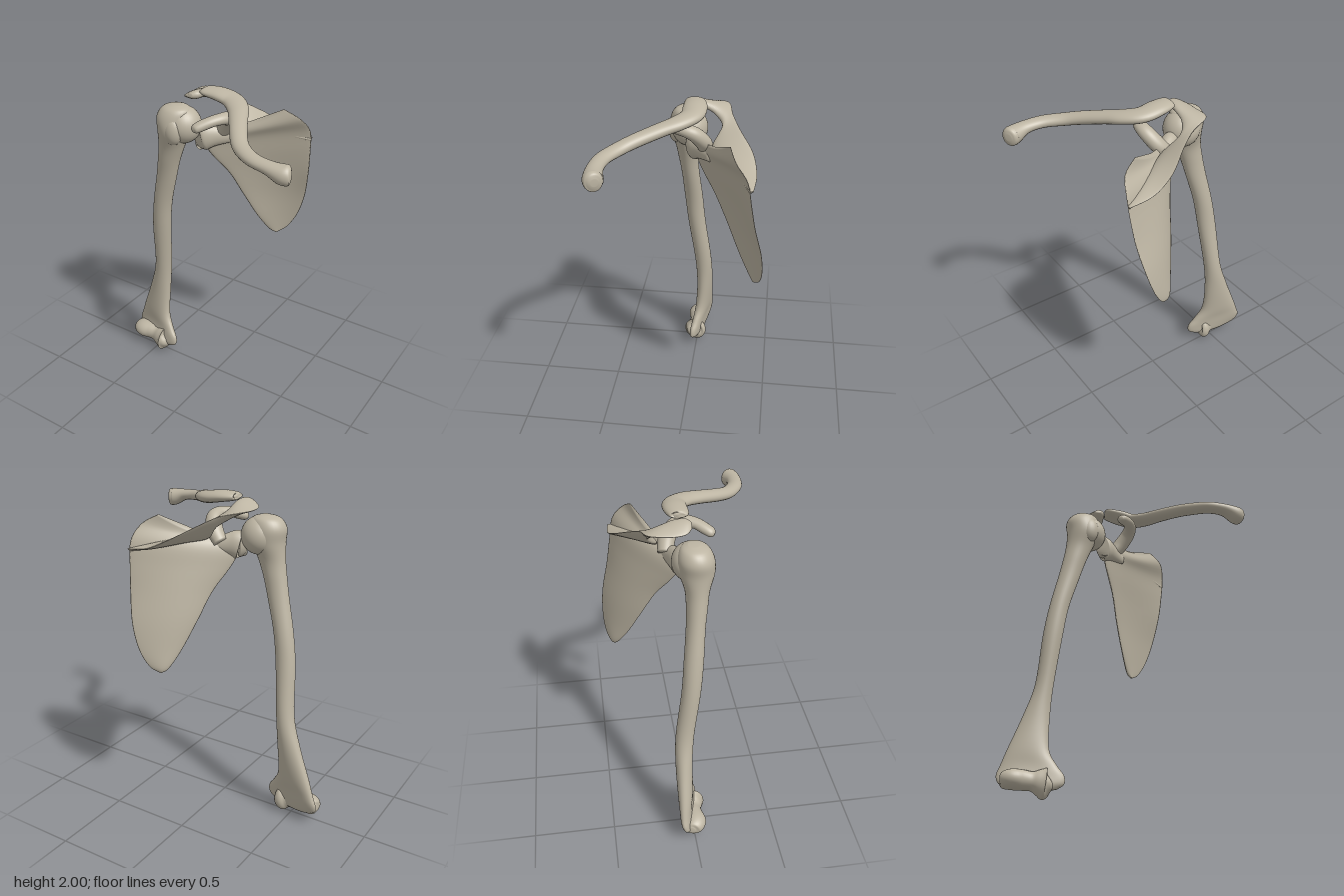
import * as THREE from 'three';

const V = (x, y, z) => new THREE.Vector3(x, y, z);
const SEG = 32;

// Smoothly subdivide rows of numbers (Catmull-Rom through every row)
function refine(rows, n) {
  const out = [], last = rows.length - 1;
  for (let i = 0; i < last; i++) {
    const a = rows[Math.max(i - 1, 0)], b = rows[i], c = rows[i + 1], d = rows[Math.min(i + 2, last)];
    for (let k = 0; k < n; k++) {
      const t = k / n;
      out.push(b.map((_, j) => b[j] + 0.5 * t * (c[j] - a[j] +
        t * (2 * a[j] - 5 * b[j] + 4 * c[j] - d[j] + t * (3 * (b[j] - c[j]) + d[j] - a[j])))));
    }
  }
  out.push(rows[last]);
  return out;
}

// Skin closed rings of points, cap both ends, and face the surface outward
function skin(rings) {
  const n = rings[0].length, pts = rings.flat(), idx = [];
  for (let i = 0; i < rings.length - 1; i++) {
    for (let j = 0; j < n; j++) {
      const a = i * n + j, b = i * n + (j + 1) % n;
      idx.push(a, b, a + n, b, b + n, a + n);
    }
  }
  [0, rings.length - 1].forEach((r) => {
    const c = pts.length;
    pts.push(rings[r].reduce((s, p) => s.add(p), V(0, 0, 0)).divideScalar(n));
    for (let j = 0; j < n; j++) {
      const a = r * n + j, b = r * n + (j + 1) % n;
      if (r === 0) idx.push(c, b, a); else idx.push(c, a, b);
    }
  });
  let volume = 0;
  for (let i = 0; i < idx.length; i += 3) {
    volume += pts[idx[i]].dot(V(0, 0, 0).crossVectors(pts[idx[i + 1]], pts[idx[i + 2]]));
  }
  if (volume < 0) idx.reverse();
  const g = new THREE.BufferGeometry().setFromPoints(pts);
  g.setIndex(idx);
  g.computeVertexNormals();
  return g;
}

const ring = (f) => Array.from({ length: SEG }, (_, j) => f((j / SEG) * Math.PI * 2));

// Upright shaft: [y, centreX, centreZ, radiusX, radiusZ, shear, pinch]
function shaft(rows) {
  return skin(refine(rows, 5).map(([y, cx, cz, rx, rz, shear, pinch]) => ring((a) => {
    const x = rx * Math.cos(a), s = Math.sin(a);
    return V(cx + x, y, cz + rz * s * (1 - pinch * s * s) + shear * x);
  })));
}

// Bent rod with an oval section: [x, y, z, sideRadius, uprightRadius]
function rod(rows) {
  const r = refine(rows, 5);
  return skin(r.map(([x, y, z, rs, ru], i) => {
    const p = r[Math.max(i - 1, 0)], q = r[Math.min(i + 1, r.length - 1)];
    const t = V(q[0] - p[0], q[1] - p[1], q[2] - p[2]).normalize();
    const side = t.clone().cross(V(0, 1, 0)).normalize();
    const up = side.clone().cross(t);
    return ring((a) => V(x, y, z).addScaledVector(side, rs * Math.cos(a)).addScaledVector(up, ru * Math.sin(a)));
  }));
}

// Thin curved plate: [edgeA xyz, edgeB xyz, half thickness, bulge, sag]
function plate(rows) {
  const r = refine(rows, 5);
  const mid = (q) => V(q[0] + q[3], q[1] + q[4], q[2] + q[5]);
  return skin(r.map((q, i) => {
    const A = V(q[0], q[1], q[2]), D = V(q[3], q[4], q[5]).sub(A);
    const path = mid(r[Math.min(i + 1, r.length - 1)]).sub(mid(r[Math.max(i - 1, 0)]));
    const N = D.clone().cross(path).normalize();
    return ring((a) => {
      const c = Math.cos(a), s = Math.sin(a);
      const p = A.clone().addScaledVector(D, 0.5 + 0.5 * c);
      p.addScaledVector(N, q[6] * s * (1 - 0.5 * c) + q[7] * s * s);
      p.y -= q[8] * s * s;
      return p;
    });
  }));
}

export function createModel() {
  const model = new THREE.Group();
  const bone = new THREE.MeshStandardMaterial({ color: 0xbdb5a3 });
  bone.name = 'bone';
  const add = (parent, name, geometry) => {
    const m = new THREE.Mesh(geometry, bone);
    m.name = name;
    parent.add(m);
    return m;
  };
  const group = (name) => {
    const g = new THREE.Group();
    g.name = name;
    model.add(g);
    return g;
  };

  // Upper arm bone: shaft, ball head and hinge end
  const arm = group('upperArmBone');
  add(arm, 'armShaft', shaft([
    [1.875, -0.25, 0.035, 0.03, 0.03, 0, 0],
    [1.855, -0.255, 0.04, 0.085, 0.075, 0, 0],
    [1.8, -0.268, 0.045, 0.104, 0.1, 0, 0],
    [1.72, -0.265, 0.05, 0.1, 0.1, 0, 0],
    [1.62, -0.288, 0.05, 0.083, 0.07, 0, 0],
    [1.52, -0.315, 0.045, 0.072, 0.06, 0, 0],
    [1.4, -0.345, 0.035, 0.066, 0.055, 0, 0],
    [1.2, -0.395, 0.018, 0.06, 0.057, 0, 0],
    [1.0, -0.425, 0, 0.06, 0.056, 0, 0],
    [0.7, -0.455, -0.04, 0.055, 0.055, 0, 0],
    [0.5, -0.492, -0.05, 0.078, 0.052, 0.1, 0],
    [0.3, -0.53, -0.045, 0.115, 0.055, 0.2, 0.15],
    [0.2, -0.525, -0.035, 0.155, 0.055, 0.25, 0.35],
    [0.14, -0.515, -0.025, 0.185, 0.05, 0.25, 0.3],
    [0.09, -0.508, -0.015, 0.178, 0.045, 0.22, 0.2],
    [0.06, -0.5, -0.01, 0.13, 0.03, 0.2, 0],
  ]));
  const head = add(arm, 'armHead', new THREE.SphereGeometry(1, 32, 24));
  head.scale.set(0.11, 0.112, 0.108);
  head.position.set(-0.22, 1.755, 0.025);
  const bump = add(arm, 'headBump', new THREE.SphereGeometry(1, 24, 16));
  bump.scale.set(0.06, 0.085, 0.05);
  bump.position.set(-0.235, 1.735, 0.105);
  add(arm, 'elbowSpool', rod([
    [-0.68, 0.1, -0.03, 0.02, 0.02],
    [-0.665, 0.1, -0.025, 0.05, 0.045],
    [-0.62, 0.105, 0, 0.07, 0.058],
    [-0.56, 0.105, 0, 0.06, 0.058],
    [-0.51, 0.1, 0.005, 0.05, 0.055],
    [-0.47, 0.095, 0.01, 0.06, 0.075],
    [-0.435, 0.09, 0.01, 0.075, 0.09],
    [-0.415, 0.09, 0.015, 0.055, 0.05],
    [-0.4, 0.095, 0.015, 0.02, 0.02],
  ]));

  // Collarbone
  add(model, 'collarbone', rod([
    [-0.1, 1.972, -0.02, 0.03, 0.01],
    [-0.085, 1.97, -0.02, 0.055, 0.024],
    [0, 1.964, -0.03, 0.068, 0.034],
    [0.09, 1.948, -0.02, 0.066, 0.036],
    [0.165, 1.932, 0.045, 0.06, 0.036],
    [0.22, 1.912, 0.13, 0.052, 0.036],
    [0.3, 1.878, 0.255, 0.047, 0.036],
    [0.37, 1.856, 0.335, 0.046, 0.034],
    [0.47, 1.845, 0.397, 0.045, 0.032],
    [0.57, 1.835, 0.415, 0.045, 0.035],
    [0.65, 1.815, 0.408, 0.055, 0.054],
    [0.68, 1.815, 0.395, 0.045, 0.05],
    [0.69, 1.815, 0.39, 0.02, 0.02],
  ]));

  // Shoulder blade: blade, ridge running into the roof plate, socket and hook
  const shoulder = group('shoulderBlade');
  add(shoulder, 'blade', plate([
    [0.185, 0.96, -0.4, 0.2, 0.96, -0.41, 0.006, 0, 0],
    [0.15, 0.99, -0.375, 0.25, 1.0, -0.44, 0.012, -0.005, 0],
    [0.1, 1.1, -0.31, 0.31, 1.1, -0.455, 0.013, -0.015, 0],
    [0.04, 1.27, -0.23, 0.36, 1.25, -0.445, 0.014, -0.025, 0],
    [-0.01, 1.43, -0.15, 0.395, 1.43, -0.405, 0.015, -0.035, 0],
    [-0.07, 1.55, -0.07, 0.41, 1.58, -0.38, 0.018, -0.035, 0],
    [-0.1, 1.63, -0.03, 0.415, 1.72, -0.355, 0.02, -0.03, 0],
    [-0.085, 1.69, -0.03, 0.38, 1.81, -0.29, 0.018, -0.02, 0.015],
    [-0.04, 1.74, -0.05, 0.29, 1.865, -0.25, 0.008, -0.01, 0.03],
  ]));
  add(shoulder, 'ridgeAndRoof', plate([
    [0.41, 1.665, -0.36, 0.415, 1.675, -0.385, 0.008, 0, 0],
    [0.27, 1.7, -0.28, 0.27, 1.7, -0.395, 0.016, 0, 0],
    [0.14, 1.72, -0.19, 0.13, 1.765, -0.365, 0.017, 0, 0],
    [0.03, 1.74, -0.13, 0, 1.84, -0.285, 0.018, 0, 0],
    [-0.05, 1.83, -0.18, -0.1, 1.89, -0.235, 0.02, 0, 0],
    [-0.1, 1.895, -0.13, -0.215, 1.92, -0.2, 0.022, 0, 0],
    [-0.105, 1.94, -0.06, -0.235, 1.915, -0.08, 0.022, 0, 0],
    [-0.113, 1.95, 0.01, -0.225, 1.92, 0, 0.022, 0, 0],
    [-0.145, 1.945, 0.038, -0.185, 1.935, 0.036, 0.01, 0, 0],
  ]));
  add(shoulder, 'socket', rod([
    [-0.105, 1.69, -0.02, 0.03, 0.05],
    [-0.11, 1.69, -0.015, 0.055, 0.082],
    [-0.085, 1.695, -0.03, 0.055, 0.08],
    [-0.04, 1.695, -0.06, 0.04, 0.06],
    [0.05, 1.69, -0.12, 0.015, 0.03],
  ]));
  add(shoulder, 'hook', rod([
    [-0.03, 1.71, -0.09, 0.045, 0.04],
    [0.02, 1.77, -0.075, 0.05, 0.045],
    [0.058, 1.828, -0.03, 0.045, 0.042],
    [0.06, 1.85, 0.03, 0.04, 0.034],
    [0.03, 1.848, 0.09, 0.037, 0.03],
    [-0.01, 1.83, 0.14, 0.036, 0.03],
    [-0.035, 1.815, 0.172, 0.03, 0.025],
    [-0.043, 1.81, 0.185, 0.01, 0.01],
  ]));
  return model;
}
